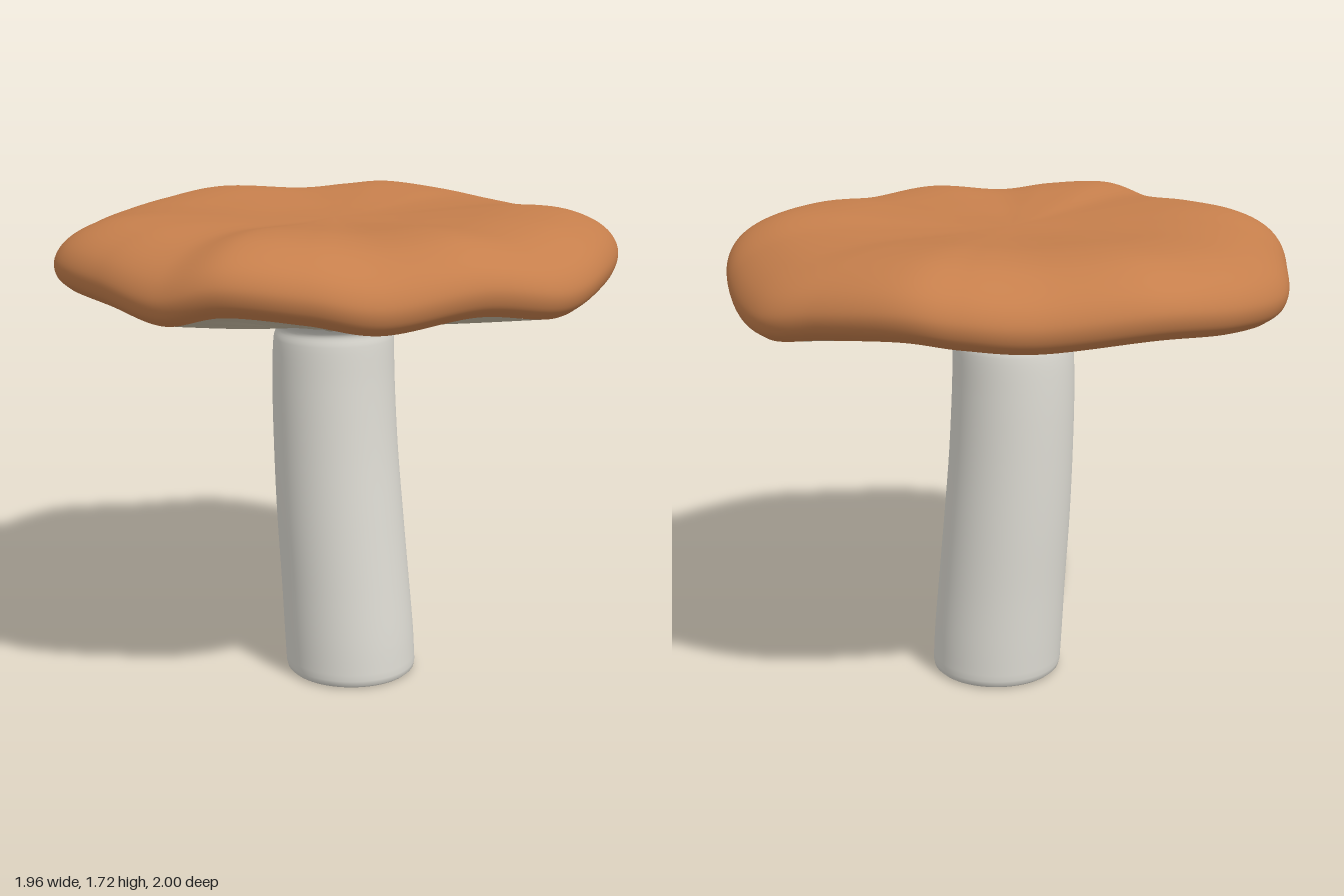
import * as THREE from 'three';

const AROUND = 240;

// Smooth skin over closed rings, listed from the top outwards and down: point(row, u) with u in 0..1
function loft(rows, point, around = AROUND) {
  const pos = [], index = [];
  for (let i = 0; i < rows; i++) {
    for (let j = 0; j < around; j++) pos.push(...point(i, j / around).toArray());
  }
  for (let i = 0; i < rows - 1; i++) {
    for (let j = 0; j < around; j++) {
      const k = (j + 1) % around;
      const a = i * around + j, b = i * around + k, c = a + around, d = b + around;
      index.push(a, b, c, b, d, c);
    }
  }
  const geo = new THREE.BufferGeometry();
  geo.setAttribute('position', new THREE.Float32BufferAttribute(pos, 3));
  geo.setIndex(index);
  geo.computeVertexNormals();
  return geo;
}

// Wavy rim of the cap: x, rise or fall, z
const rim = new THREE.CatmullRomCurve3([
  [0.975, 0.015, 0.08], [0.9, -0.02, 0.4], [0.69, 0.02, 0.65], [0.425, -0.02, 0.85],
  [0.2, 0.02, 0.945], [-0.06, 0.04, 0.995], [-0.29, -0.015, 0.94], [-0.55, 0.01, 0.78],
  [-0.79, 0.02, 0.585], [-0.91, -0.01, 0.29], [-0.98, -0.03, -0.02], [-0.925, -0.01, -0.34],
  [-0.765, 0.02, -0.63], [-0.45, -0.01, -0.83], [-0.235, 0.01, -0.95], [-0.04, 0.03, -1],
  [0.25, 0, -0.97], [0.505, -0.04, -0.9], [0.77, -0.03, -0.615], [0.94, 0.025, -0.315],
].map((p) => new THREE.Vector3(...p)), true, 'catmullrom', 0.5);

// Point of the cap at a share t of the rim's radius
function capPoint(t, y, u) {
  const p = rim.getPoint(u);
  return new THREE.Vector3(p.x * t, y + p.y * t * t, p.z * t);
}

const LIP = [0.95, 1.455];

function capGeometry() {
  // Share of the radius and height, from the centre over the rounded edge to the lip
  const profile = new THREE.SplineCurve([
    [0, 1.675], [0.2, 1.678], [0.42, 1.692], [0.62, 1.702], [0.78, 1.69], [0.89, 1.655],
    [0.965, 1.605], [1, 1.545], [0.99, 1.49], LIP,
  ].map((p) => new THREE.Vector2(...p))).getPoints(54);
  return loft(profile.length, (i, u) => capPoint(profile[i].x, profile[i].y, u));
}

function gillGeometry() {
  const rows = 16;
  const around = AROUND * 3;
  return loft(rows, (i, u) => {
    const s = i / (rows - 1);
    const outer = capPoint(...LIP, u);
    const angle = Math.atan2(outer.z, outer.x);
    const inner = new THREE.Vector3(0.225 * Math.cos(angle), 1.318, 0.225 * Math.sin(angle));
    const p = outer.lerp(inner, s);
    // Fine irregular radial ridges, fading at both ends
    const ridge = Math.sin(angle * 61 + 2 * Math.sin(angle * 7)) + 0.6 * Math.sin(angle * 37 + 1);
    p.y += 0.004 * ridge * Math.sin(Math.PI * s);
    return p;
  }, around);
}

function stemGeometry() {
  // Height, sideways lean, radius
  const side = new THREE.CatmullRomCurve3([
    [1.328, 0, 0.255], [1.312, 0, 0.225], [1.29, 0, 0.208], [1.25, -0.003, 0.214],
    [1.1, -0.004, 0.219], [0.85, 0.005, 0.224], [0.6, 0.021, 0.23], [0.35, 0.041, 0.234],
    [0.15, 0.056, 0.238], [0.03, 0.063, 0.238],
  ].map((p) => new THREE.Vector3(...p))).getPoints(45).map((p) => p.toArray());
  const base = [[0.012, 0.064, 0.234], [0.003, 0.064, 0.224], [0, 0.064, 0.21], [0, 0.064, 0.2], [0, 0.064, 0]];
  const rows = [...side, ...base];
  return loft(rows.length, (i, u) => {
    const [y, x, r] = rows[i];
    const a = u * Math.PI * 2;
    return new THREE.Vector3(x + r * Math.cos(a), y, r * Math.sin(a));
  }, 64);
}

export function createModel() {
  const model = new THREE.Group();
  model.name = 'mushroom';
  const add = (name, geometry, materialName, color) => {
    const material = new THREE.MeshStandardMaterial({ color });
    material.name = materialName;
    const mesh = new THREE.Mesh(geometry, material);
    mesh.name = name;
    model.add(mesh);
  };
  add('cap', capGeometry(), 'orange brown', 0xc67f4c);
  add('gills', gillGeometry(), 'taupe', 0xc8bca4);
  add('stem', stemGeometry(), 'off white', 0xdedcd4);
  return model;
}
